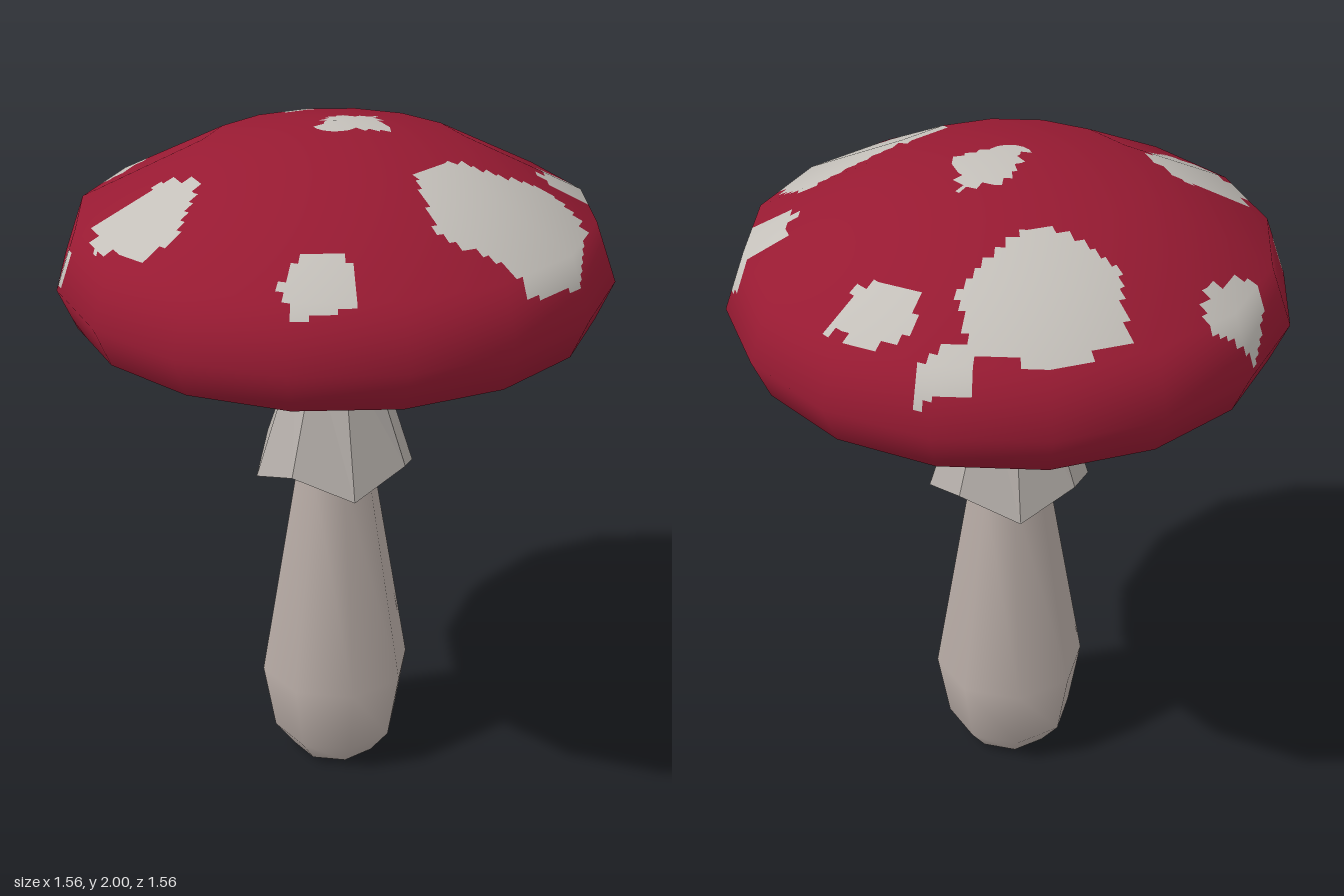
import * as THREE from 'three';

const mat = (color, side = THREE.FrontSide) => new THREE.MeshStandardMaterial({ color, side });
const profile = (pts) => pts.map(([r, y]) => new THREE.Vector2(r, y));

function add(group, name, geometry, material) {
  const mesh = new THREE.Mesh(geometry, material);
  mesh.name = name;
  group.add(mesh);
  return mesh;
}

// Spot outlines as seen from above, [x, z]
const SPOTS = [
  [[-0.21, -0.65], [0, -0.72], [0.18, -0.64], [0.2, -0.48], [0.06, -0.37], [-0.04, -0.32], [-0.22, -0.44]],
  [[0.18, -0.71], [0.34, -0.68], [0.28, -0.62], [0.17, -0.63]],
  [[0.32, -0.56], [0.42, -0.57], [0.52, -0.47], [0.44, -0.37], [0.28, -0.44]],
  [[-0.62, -0.38], [-0.57, -0.52], [-0.42, -0.57], [-0.44, -0.45], [-0.58, -0.35]],
  [[-0.06, 0.03], [0.02, -0.13], [0.15, -0.14], [0.14, 0.04], [0, 0.05]],
  [[-0.67, 0.05], [-0.47, 0.02], [-0.4, 0.13], [-0.5, 0.32], [-0.6, 0.33], [-0.69, 0.18]],
  [[0.13, 0.33], [0.25, 0.23], [0.55, 0.2], [0.61, 0.32], [0.53, 0.53], [0.35, 0.64], [0.14, 0.52]],
  [[0.57, 0.06], [0.62, -0.05], [0.74, -0.05], [0.78, 0.05], [0.7, 0.13], [0.58, 0.12]],
  [[-0.29, 0.6], [-0.22, 0.53], [-0.1, 0.54], [-0.12, 0.7], [-0.28, 0.68]],
  [[-0.8, -0.06], [-0.72, 0], [-0.8, 0.06]],
];

function inside(poly, x, z) {
  let hit = false;
  poly.forEach(([ax, az], i) => {
    const [bx, bz] = poly[(i + 1) % poly.length];
    if ((az > z) !== (bz > z) && x < ax + ((z - az) / (bz - az)) * (bx - ax)) hit = !hit;
  });
  return hit;
}

// Sixteen-sided cap, finely divided so its faces can be sorted into skin and spots
function capGeometries() {
  const SIDES = 16, DIV = 12;
  const pts = profile([[0.7, 1.467], [0.73, 1.465], [0.78, 1.58], [0.72, 1.75], [0.37, 1.93], [0, 2]]);
  const rings = pts.length;
  const base = new THREE.LatheGeometry(pts, SIDES);
  const { position, normal } = base.attributes;
  for (let i = 0; i <= SIDES; i++) normal.setXYZ(i * rings + rings - 1, 0, 1, 0);

  const cols = SIDES * DIV, rows = (rings - 1) * DIV;
  const sample = (attr, col, row) => {
    const i = Math.min(Math.floor(col / DIV), SIDES - 1), j = Math.min(Math.floor(row / DIV), rings - 2);
    const at = (a, b) => new THREE.Vector3().fromBufferAttribute(attr, a * rings + b);
    const s = col / DIV - i, t = row / DIV - j;
    return at(i, j).lerp(at(i + 1, j), s).lerp(at(i, j + 1).lerp(at(i + 1, j + 1), s), t);
  };

  const positions = [], normals = [], skin = [], spots = [];
  for (let c = 0; c <= cols; c++) {
    for (let r = 0; r <= rows; r++) {
      positions.push(...sample(position, c, r));
      normals.push(...sample(normal, c, r).normalize());
    }
  }
  for (let c = 0; c < cols; c++) {
    for (let r = 0; r < rows; r++) {
      const a = c * (rows + 1) + r, b = a + rows + 1;
      const mid = sample(position, c + 0.5, r + 0.5);
      const spotted = mid.y > 1.59 && SPOTS.some((poly) => inside(poly, mid.x, mid.z));
      (spotted ? spots : skin).push(a, b, a + 1, b + 1, a + 1, b);
    }
  }
  return [skin, spots].map((index) => {
    const g = new THREE.BufferGeometry();
    g.setAttribute('position', new THREE.Float32BufferAttribute(positions, 3));
    g.setAttribute('normal', new THREE.Float32BufferAttribute(normals, 3));
    g.setIndex(index);
    return g;
  });
}

export function createModel() {
  const group = new THREE.Group();
  group.name = 'mushroom';

  // Cap skin, pale spots and slightly hollow underside
  const [skin, spots] = capGeometries();
  add(group, 'cap', skin, mat(0x971a32));
  add(group, 'capSpots', spots, mat(0xc4c0ba));
  add(group, 'gills', new THREE.LatheGeometry(profile([[0.08, 1.515], [0.7, 1.467]]), 16), mat(0x858582));

  // Eight-sided stem, swollen near the foot
  const stem = profile([[0.13, 0], [0.19, 0.08], [0.226, 0.29], [0.117, 0.95], [0.11, 1.35], [0.11, 1.52]]);
  add(group, 'stem', new THREE.LatheGeometry(stem, 8), mat(0xb8aca6));
  const foot = add(group, 'stemFoot', new THREE.CircleGeometry(0.13, 8), mat(0x8c8480));
  foot.rotation.x = Math.PI / 2;

  // Flared skirt whose hem dips at every second corner
  const skirt = new THREE.LatheGeometry(profile([[0.236, 0.95], [0.112, 1.35]]), 8);
  const p = skirt.attributes.position;
  for (let i = 1; i < 8; i += 2) p.setY(i * 2, 1.015);
  skirt.computeVertexNormals();
  add(group, 'skirt', skirt.toNonIndexed(), mat(0xb4aea9, THREE.DoubleSide)).material.flatShading = true;

  return group;
}
